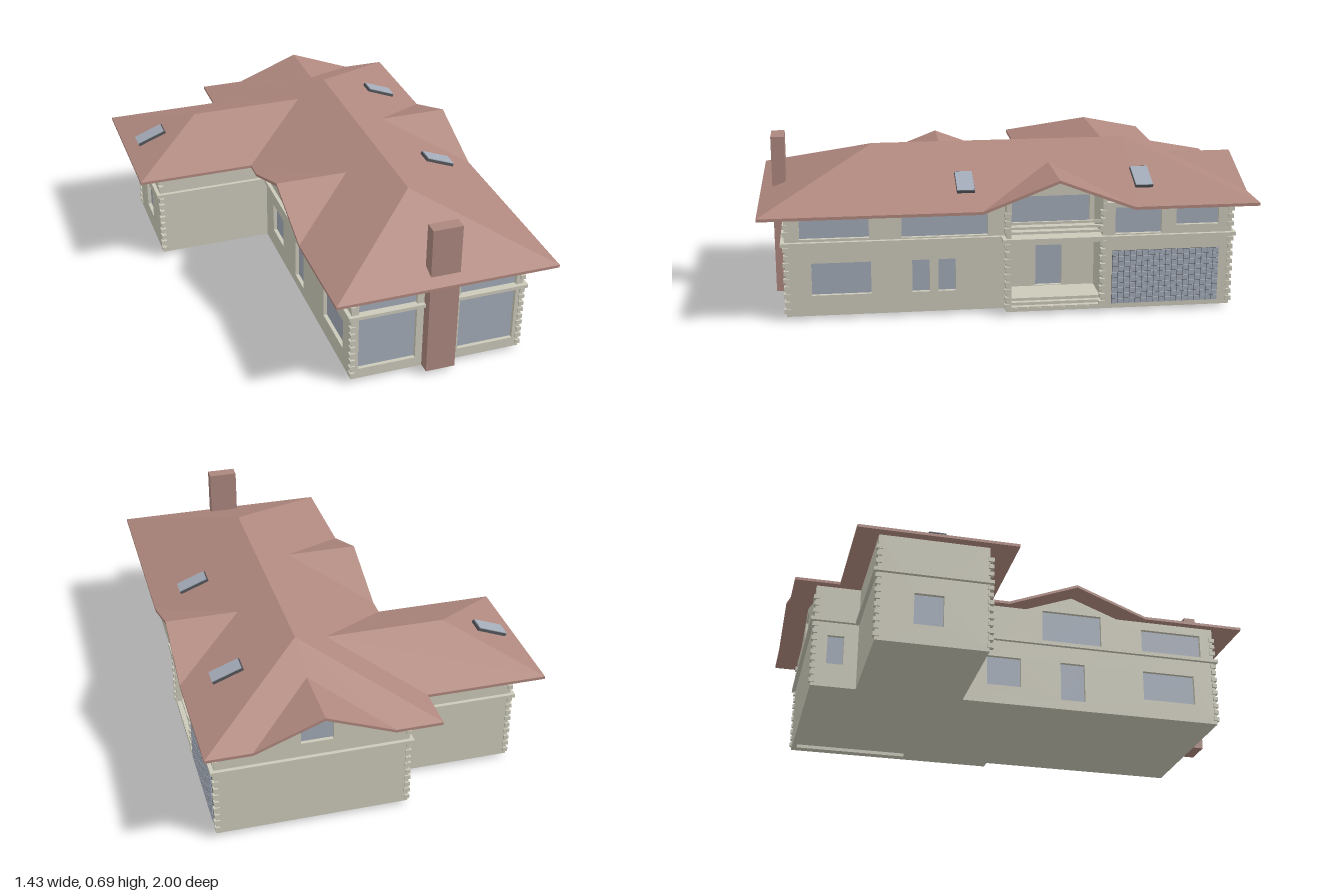
import * as THREE from 'three';

const mat = (name, color, side = THREE.FrontSide) => {
  const m = new THREE.MeshStandardMaterial({ color, side });
  m.name = name;
  return m;
};
const PLASTER = mat('plaster', 0xcbc9b9);
const ROOF = mat('roof tile', 0xb0887e, THREE.DoubleSide);
const BRICK = mat('chimney brick', 0xac877e);
const GLASS = mat('glass', 0xa3abb8);
const FRAME = mat('dark frame', 0x55575c);

const BASE = 0.015, EAVE = 0.455, SLOPE = 0.385, ROOF_T = 0.012;
const SIDES = { front: 0, right: Math.PI / 2, back: Math.PI, left: -Math.PI / 2 };

function add(parent, name, geo, material) {
  const m = new THREE.Mesh(geo, material);
  m.name = name;
  parent.add(m);
  return m;
}

// Box given by its extents
function box(parent, name, x0, x1, y0, y1, z0, z1, material = PLASTER) {
  const m = add(parent, name, new THREE.BoxGeometry(x1 - x0, y1 - y0, z1 - z0), material);
  m.position.set((x0 + x1) / 2, (y0 + y1) / 2, (z0 + z1) / 2);
  return m;
}

// Wall facing one side; u runs to the right as seen from outside.
// windows: [u0, u1, y0, y1]; gable: [centre, half width, peak height]
function wall(parent, name, side, offset, u0, u1, top, windows = [], gable = null, band = true) {
  const g = new THREE.Group();
  g.name = name;
  g.rotation.y = SIDES[side];
  const alongX = side === 'right' || side === 'left';
  g.position.set(alongX ? offset : 0, 0, alongX ? 0 : offset);
  const pts = [[u0, BASE], [u1, BASE], [u1, top]];
  if (gable) {
    const [c, h, peak] = gable;
    pts.push([c + h, top], [c, peak], [c - h, top]);
  }
  pts.push([u0, top]);
  const shape = new THREE.Shape(pts.map(p => new THREE.Vector2(...p)));
  for (const [a, b, c, d] of windows) {
    shape.holes.push(new THREE.Path([[a, c], [a, d], [b, d], [b, c]].map(p => new THREE.Vector2(...p))));
    box(g, 'windowGlass', a, b, c, d, -0.024, -0.016, GLASS);
  }
  const geo = new THREE.ExtrudeGeometry(shape, { depth: 0.03, bevelEnabled: false });
  geo.translate(0, 0, -0.03);
  add(g, 'wallPanel', geo, PLASTER);
  if (band) box(g, 'storeyBand', u0 - 0.015, u1 + 0.015, 0.31, 0.325, -0.02, 0.016);
  parent.add(g);
  return g;
}

// Roof points are [x, z, run inward from the eave]
const roofPoint = ([x, z, d = 0], drop = 0) => [x, EAVE + SLOPE * d - drop, z];

function roofGeometry() {
  const F = [0.25, 0.535, 0.467], B = [0.25, -0.535, 0.467];
  const FL = [-0.22, 1], FR = [0.715, 1], BR = [0.715, -1], BL = [-0.22, -1];
  const rA = [0.715, 0.12], rP = [0.715, -0.185, 0.305], rI = [0.41, -0.185, 0.305], rB = [0.715, -0.49];
  const bA = [0.53, -1], bP = [0.25, -1, 0.28], bI = [0.25, -0.72, 0.28], bB = [-0.03, -1];
  const lA = [-0.22, -0.075], lP = [-0.22, 0.235, 0.31], lI = [0.09, 0.235, 0.31], lB = [-0.22, 0.545];
  const wA = [-0.22, -0.81], wB = [-0.72, -0.81], wC = [-0.72, -0.155], wD = [-0.22, -0.155];
  const wO = [-0.393, -0.482, 0.327], wI = [0.107, -0.482, 0.327];
  const faces = [
    [FL, FR, F],                                    // front hip
    [FR, rA, rI, rB, BR, B, F],                     // right slope
    [BR, bA, bI, bB, BL, B],                        // back hip
    [FL, F, B, BL, wA, wI, wD, lA, lI, lB],         // left slope
    [rA, rP, rI], [rP, rB, rI],                     // right gable
    [bA, bP, bI], [bP, bB, bI],                     // back gable
    [lA, lP, lI], [lP, lB, lI],                     // left gable
    [wC, wD, wI, wO], [wA, wB, wO, wI], [wB, wC, wO], // wing
  ];
  const rim = [FL, FR, rA, rP, rB, BR, bA, bP, bB, BL, wA, wB, wC, wD, lA, lP, lB];
  const v = [];
  for (const f of faces) {
    const flat = f.map(p => new THREE.Vector2(p[0], p[1]));
    for (const t of THREE.ShapeUtils.triangulateShape(flat, [])) {
      let [a, b, c] = t.map(i => f[i]);
      // keep the top side facing up
      const up = (b[1] - a[1]) * (c[0] - a[0]) - (b[0] - a[0]) * (c[1] - a[1]);
      if (up < 0) [b, c] = [c, b];
      for (const p of [a, b, c]) v.push(...roofPoint(p));
      for (const p of [a, c, b]) v.push(...roofPoint(p, ROOF_T));
    }
  }
  // eave edge
  rim.forEach((a, i) => {
    const b = rim[(i + 1) % rim.length];
    const [p, q, r, s] = [roofPoint(a), roofPoint(a, ROOF_T), roofPoint(b, ROOF_T), roofPoint(b)];
    v.push(...p, ...q, ...r, ...p, ...r, ...s);
  });
  const geo = new THREE.BufferGeometry();
  geo.setAttribute('position', new THREE.Float32BufferAttribute(v, 3));
  geo.computeVertexNormals();
  return geo;
}

function skylight(parent, x, z, run, dir) {
  const g = new THREE.Group();
  g.name = 'skylight';
  box(g, 'skylightFrame', -0.067, 0.067, -0.008, 0.008, -0.036, 0.036, FRAME);
  box(g, 'skylightGlass', -0.062, 0.067, 0.006, 0.011, -0.035, 0.035, GLASS);
  g.position.set(x, EAVE + SLOPE * run + 0.005, z);
  g.rotation.set(0, dir < 0 ? Math.PI : 0, -Math.atan(SLOPE), 'YXZ');
  parent.add(g);
}

export function createModel() {
  const house = new THREE.Group();
  house.name = 'house';

  // Floor slab
  const plan = [[-0.12, 0.9], [0.615, 0.9], [0.615, 0.02], [0.665, 0.02], [0.665, -0.9], [-0.12, -0.9],
    [-0.12, -0.71], [-0.62, -0.71], [-0.62, -0.255], [-0.12, -0.255]];
  const slab = new THREE.ExtrudeGeometry(new THREE.Shape(plan.map(([x, z]) => new THREE.Vector2(x, -z))),
    { depth: 0.015, bevelEnabled: false });
  slab.rotateX(-Math.PI / 2);
  add(house, 'floorSlab', slab, PLASTER).position.y = BASE;

  // Walls
  wall(house, 'frontWall', 'front', 0.9, -0.12, 0.615, 0.478,
    [[-0.095, 0.155, 0.06, 0.445], [0.34, 0.595, 0.06, 0.445]]);
  wall(house, 'rightWall', 'right', 0.615, -0.9, 0, 0.478,
    [[-0.84, -0.565, 0.335, 0.44], [-0.435, -0.09, 0.33, 0.44], [-0.797, -0.56, 0.1, 0.235],
      [-0.395, -0.325, 0.1, 0.235], [-0.29, -0.22, 0.1, 0.235]]);
  const rear = wall(house, 'rightRearWall', 'right', 0.665, 0.37, 0.9, 0.46,
    [[0.42, 0.61, 0.33, 0.44], [0.67, 0.845, 0.36, 0.44]]);
  wall(house, 'porchBackWall', 'right', 0.48, 0, 0.37, 0.485,
    [[0.02, 0.35, 0.33, 0.48], [0.125, 0.235, 0.06, 0.235]], [0.185, 0.18, 0.553], false);
  wall(house, 'backWall', 'back', -0.9, -0.665, 0.12, 0.46, [[-0.32, -0.19, 0.385, 0.505]], [-0.25, 0.23, 0.546]);
  wall(house, 'leftRearWall', 'left', -0.12, -0.9, -0.71, 0.478, [[-0.84, -0.77, 0.12, 0.25]]);
  wall(house, 'leftWall', 'left', -0.12, -0.255, 0.9, 0.478,
    [[0.1, 0.37, 0.335, 0.48], [0.56, 0.84, 0.335, 0.44], [0.56, 0.8, 0.1, 0.235],
      [0.18, 0.29, 0.06, 0.235], [-0.15, 0.0, 0.1, 0.235]], [0.235, 0.21, 0.557]);
  wall(house, 'wingFrontWall', 'front', -0.255, -0.62, -0.12, 0.478);
  wall(house, 'wingBackWall', 'back', -0.71, 0.12, 0.62, 0.478);
  wall(house, 'wingEndWall', 'left', -0.62, -0.71, -0.255, 0.478, [[-0.56, -0.44, 0.1, 0.235]]);

  // Glass block panel
  const cols = 18, rows = 10, w = 0.44 / cols, h = 0.225 / rows;
  box(rear, 'blockBacking', 0.41, 0.85, 0.035, 0.26, 0, 0.002, FRAME);
  for (let r = 0; r < rows; r++) for (let c = 0; c < cols; c++) {
    const u = 0.41 + c * w, y = 0.035 + r * h;
    box(rear, 'glassBlock', u + 0.0012, u + w - 0.0012, y + 0.0012, y + h - 0.0012, 0.001, 0.006, GLASS);
  }
  box(house, 'groundSill', 0.585, 0.605, 0, 0.016, -0.88, -0.385);

  // Porch with balcony
  box(house, 'porchFrontSide', 0.48, 0.665, BASE, 0.478, 0, 0.02);
  box(house, 'porchRearSide', 0.48, 0.664, BASE, 0.478, -0.385, -0.37);
  box(house, 'porchSideBand', 0.615, 0.681, 0.31, 0.325, -0.005, 0.036);
  box(house, 'balconyFloor', 0.46, 0.681, 0.305, 0.325, -0.37, 0);
  for (let i = 0; i < 3; i++) {
    box(house, 'porchStep', 0.46, 0.664 - i * 0.02, 0.02 + i * 0.012, 0.034 + i * 0.012, -0.37, 0);
    box(house, 'balconyRail', 0.652, 0.662, 0.34 + i * 0.02, 0.35 + i * 0.02, -0.37, 0);
  }
  const tri = new THREE.Shape([[0.03, 0.498], [0.34, 0.498], [0.185, 0.556]].map(p => new THREE.Vector2(...p)));
  const pediment = add(house, 'porchGable',
    new THREE.ExtrudeGeometry(tri, { depth: 0.012, bevelEnabled: false }), PLASTER);
  pediment.rotation.y = Math.PI / 2;
  pediment.position.x = 0.65;

  // Interlocking log ends at the corners
  const corners = [[-0.12, 0.9], [0.615, 0.9], [0.665, 0.02], [0.665, -0.375], [0.665, -0.9], [-0.12, -0.9],
    [-0.62, -0.71], [-0.62, -0.255]];
  for (const [x, z] of corners) for (let i = 0; i < 13; i++) {
    const y = 0.03 + i * 0.032, a = i % 2 ? 0.018 : 0.013, b = i % 2 ? 0.013 : 0.018;
    if (y > 0.29 && y < 0.33) continue;
    box(house, 'logEnd', x - a, x + 0.007, y, y + 0.018, z - b, z + 0.007)
      .position.set(x - Math.sign(x) * 0.004, y + 0.009, z - Math.sign(z) * 0.004);
  }

  // Roof, skylights and chimney
  add(house, 'roof', roofGeometry(), ROOF);
  skylight(house, 0.535, -0.55, 0.18, 1);
  skylight(house, 0.535, 0.175, 0.18, 1);
  skylight(house, -0.602, -0.482, 0.118, -1);
  box(house, 'chimney', 0.185, 0.31, 0.018, 0.685, 0.895, 0.95, BRICK);

  return house;
}
